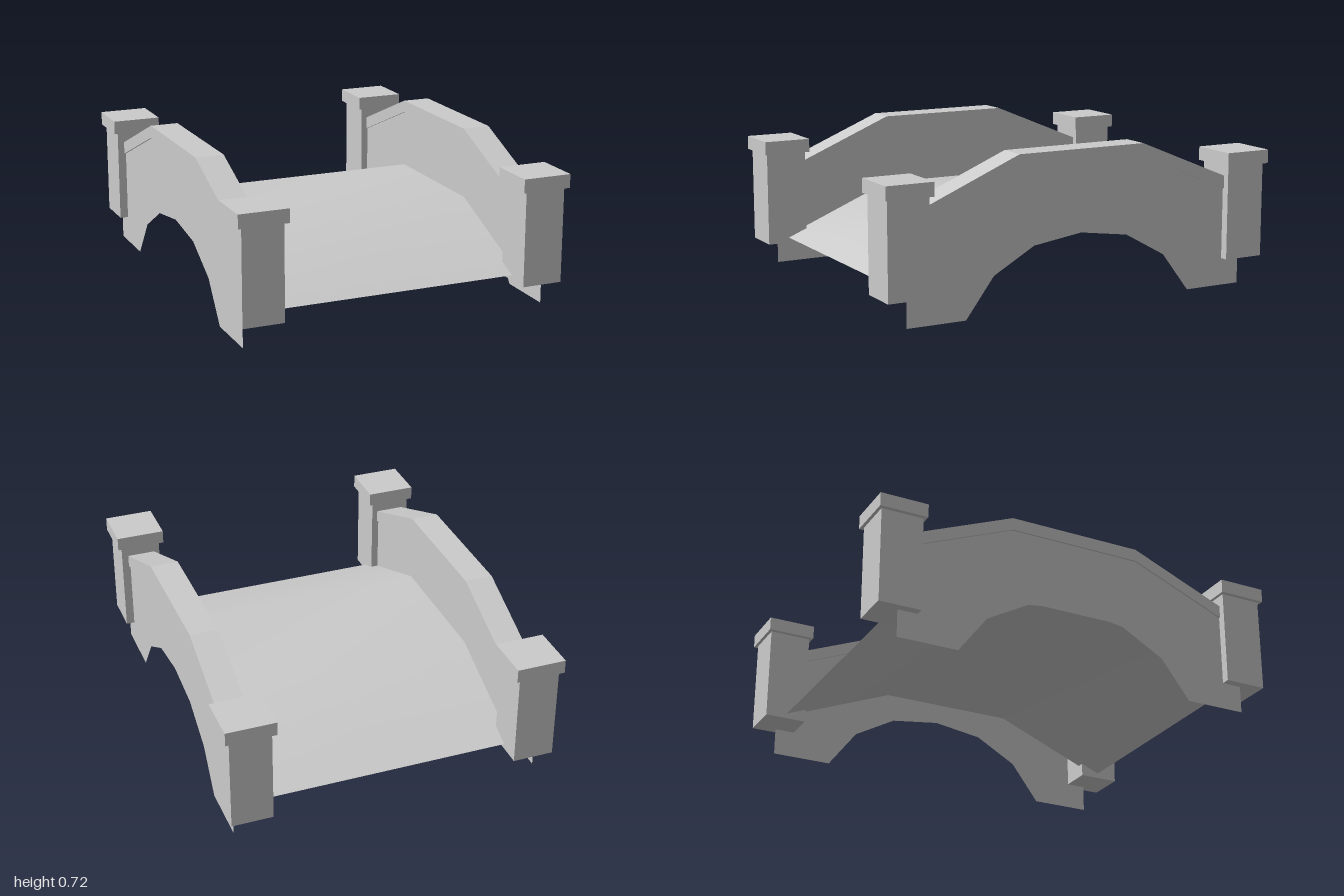
import * as THREE from 'three';

// Profiles are [z, y] pairs for one half, listed from the middle outwards
const WALL_TOP = [[0.325, 0.66], [0.88, 0.43]];
const COPING_TOP = [[0.325, 0.72], [0.88, 0.49]];
const DECK = [[0.33, 0.38], [0.88, 0.155]];
const ARCH = [[0, 0.335], [0.245, 0.3], [0.45, 0.185], [0.59, 0], [0.88, 0]];

// Full line from -z to +z
function span(half) {
  const mirrored = half.filter(([z]) => z > 0).map(([z, y]) => [-z, y]).reverse();
  return [...mirrored, ...half];
}

// Closed outline between a lower and an upper line
function between(lower, upper) {
  const points = [...span(lower), ...span(upper).reverse()];
  return new THREE.Shape(points.map(([z, y]) => new THREE.Vector2(z, y)));
}

export function createModel() {
  const model = new THREE.Group();
  const solid = new THREE.MeshStandardMaterial({ color: 0xcccccc });
  const thin = new THREE.MeshStandardMaterial({ color: 0xcccccc, side: THREE.DoubleSide });

  function add(parent, name, geometry, material, x = 0, y = 0, z = 0) {
    const mesh = new THREE.Mesh(geometry, material);
    mesh.name = name;
    mesh.position.set(x, y, z);
    parent.add(mesh);
  }

  // Deck: a thin, smoothly shaded strip bent over the arch
  const deck = new THREE.PlaneGeometry(1.24, 1, 1, DECK.length * 2 - 1).rotateX(-Math.PI / 2);
  const rows = span(DECK);
  const pos = deck.attributes.position;
  for (let i = 0; i < pos.count; i++) {
    const [z, y] = rows[Math.floor(i / 2)];
    pos.setXYZ(i, pos.getX(i), y, z);
  }
  deck.computeVertexNormals();
  add(model, 'deck', deck, thin);

  // Parapets: outer arched face, inner face above the deck, coping on top
  const outer = new THREE.ShapeGeometry(between(ARCH, WALL_TOP)).rotateY(-Math.PI / 2);
  const outerLeft = new THREE.ShapeGeometry(between(ARCH, WALL_TOP)).rotateY(-Math.PI / 2);
  outerLeft.rotateY(Math.PI);
  const inner = new THREE.ShapeGeometry(between(DECK, WALL_TOP)).rotateY(-Math.PI / 2);
  const coping = new THREE.ExtrudeGeometry(between(WALL_TOP, COPING_TOP), {
    depth: 0.135, bevelEnabled: false,
  }).rotateY(-Math.PI / 2).translate(0.0675, 0, 0);

  // End posts
  const shaft = new THREE.BoxGeometry(0.195, 0.45, 0.2);
  const cap = new THREE.BoxGeometry(0.235, 0.065, 0.23);

  for (const side of [1, -1]) {
    const label = side > 0 ? 'left' : 'right';
    const parapet = new THREE.Group();
    parapet.name = `${label}Parapet`;
    add(parapet, 'outerWall', side > 0 ? outerLeft : outer, thin, side * 0.74);
    add(parapet, 'innerWall', inner, thin, side * 0.62);
    add(parapet, 'coping', coping, solid, side * 0.6805);
    model.add(parapet);

    for (const end of [1, -1]) {
      const post = new THREE.Group();
      post.name = `${label}${end > 0 ? 'Front' : 'Back'}Post`;
      post.position.set(side * 0.6825, 0, end * 0.885);
      add(post, 'postShaft', shaft, solid, 0, 0.355, 0);
      add(post, 'postCap', cap, solid, 0, 0.6125, 0);
      model.add(post);
    }
  }
  return model;
}
